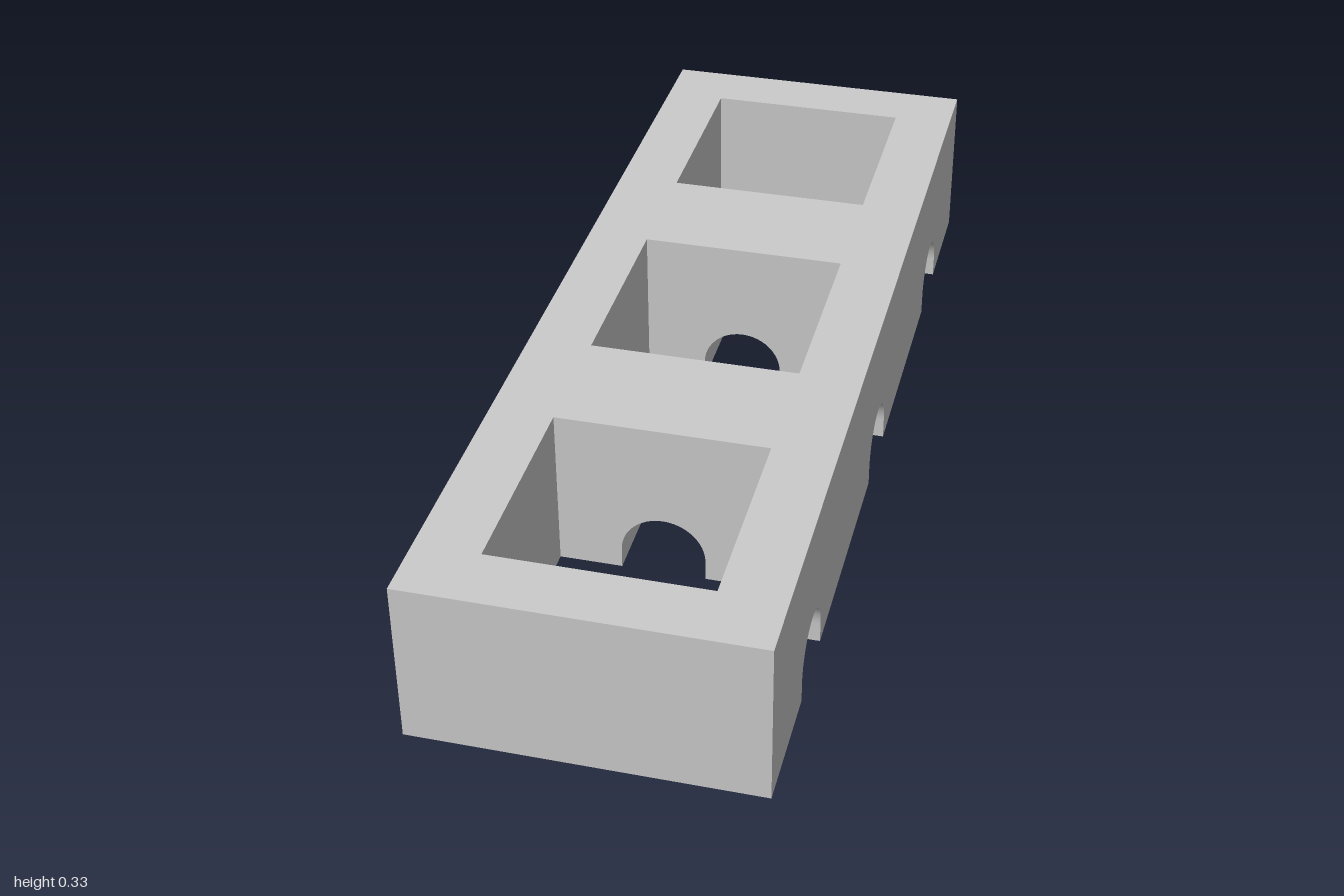
import * as THREE from 'three';
import { mergeGeometries } from 'three/addons/utils/BufferGeometryUtils.js';

const W = 1 / 3, L = 1, H = 1 / 3;        // half width, half length, height
const CELL = 5 / 24;                      // half size of the square openings
const R = 1 / 12, SPRING = 1 / 24;        // arch radius and height of its straight legs
const NOTCH = L - 1 / 16;                 // where the blind end notches stop
const CENTRES = [-2 / 3, 0, 2 / 3];
const SEG = 24;

// Upright wall outline with arches cut from its lower edge
function wall(halfWidth, arches) {
  const s = new THREE.Shape();
  s.moveTo(-halfWidth, 0);
  for (const c of arches) {
    s.lineTo(c - R, 0);
    s.lineTo(c - R, SPRING);
    s.absarc(c, SPRING, R, Math.PI, 0, true);
    s.lineTo(c + R, 0);
  }
  s.lineTo(halfWidth, 0);
  s.lineTo(halfWidth, H);
  s.lineTo(-halfWidth, H);
  return new THREE.ShapeGeometry(s, SEG / 2);
}

// Inside of an arched tunnel running along z from z0 to z1
function tunnel(z0, z1) {
  const g = new THREE.PlaneGeometry(1, 1, SEG + 2, 1);
  const p = g.attributes.position;
  for (let i = 0; i < p.count; i++) {
    const k = i % (SEG + 3);
    const a = Math.PI * (1 - THREE.MathUtils.clamp((k - 1) / SEG, 0, 1));
    const leg = k === 0 || k === SEG + 2;
    p.setXYZ(i, R * Math.cos(a), leg ? 0 : SPRING + R * Math.sin(a), p.getY(i) > 0 ? z1 : z0);
  }
  g.computeVertexNormals();
  return g;
}

// Flat polygon on the underside, given as x, z corners
function underside(points) {
  const s = new THREE.Shape(points.map(([x, z]) => new THREE.Vector2(x, z)));
  return new THREE.ShapeGeometry(s).rotateX(Math.PI / 2);
}

function square(x, y, hx, hy, Type) {
  return new Type([[-1, -1], [1, -1], [1, 1], [-1, 1]]
    .map(([a, b]) => new THREE.Vector2(x + a * hx, y + b * hy)));
}

export function createModel() {
  const group = new THREE.Group();
  const material = new THREE.MeshStandardMaterial({ color: 0xcccccc });
  const add = (name, parts) => {
    const mesh = new THREE.Mesh(mergeGeometries(parts), material);
    mesh.name = name;
    group.add(mesh);
  };
  const half = Math.PI / 2;

  // Top face with three square openings
  const top = square(0, 0, W, L, THREE.Shape);
  top.holes = CENTRES.map(z => square(0, z, CELL, CELL, THREE.Path));
  add('topFace', [new THREE.ShapeGeometry(top).rotateX(-half).translate(0, H, 0)]);

  // Long sides with arches, plain ends
  add('sideFaces', [1, -1].map(d => wall(L, CENTRES).rotateY(d * half).translate(d * W, 0, 0)));
  add('endFaces', [0, 1].map(k => wall(W, []).rotateY(k * Math.PI).translate(0, 0, k ? -L : L)));

  // Four inward-facing walls in each opening
  for (const z of CENTRES) {
    add('openingWalls', [0, 1, 2, 3].map(k =>
      wall(CELL, [0]).translate(0, 0, -CELL).rotateY(k * half).translate(0, 0, z)));
  }

  // Cross tunnels through the long walls
  add('crossTunnels', CENTRES.flatMap(z => [[CELL, W], [-W, -CELL]].map(([a, b]) =>
    tunnel(a, b).rotateY(half).translate(0, 0, z))));

  // Lengthwise tunnels between the openings, blind notches in the ends
  const inner = 2 / 3 - CELL, outer = 2 / 3 + CELL;
  add('lengthTunnels', [tunnel(CELL, inner), tunnel(-inner, -CELL)]);
  add('endNotches', [tunnel(outer, NOTCH), tunnel(-NOTCH, -outer)]);
  const cap = new THREE.Shape();
  cap.moveTo(-R, 0);
  cap.lineTo(R, 0);
  cap.lineTo(R, SPRING);
  cap.absarc(0, SPRING, R, 0, Math.PI, false);
  add('notchBacks', [0, 1].map(k => new THREE.ShapeGeometry(cap, SEG / 2)
    .translate(0, 0, -NOTCH).rotateY(k * Math.PI)));

  // Feet: U-shaped at the ends, T-shaped between the openings
  const feet = [];
  for (const d of [1, -1]) {
    const side = [[W, 2 / 3 + R], [CELL, 2 / 3 + R], [CELL, outer], [R, outer], [R, NOTCH]];
    const u = [[W, L], ...side, ...side.map(([x, z]) => [-x, z]).reverse(), [-W, L]];
    feet.push(underside(u.map(([x, z]) => [x, z * d])));
    for (const e of [1, -1]) {
      const t = [[W, R], [W, 2 / 3 - R], [CELL, 2 / 3 - R], [CELL, inner],
        [R, inner], [R, CELL], [CELL, CELL], [CELL, R]];
      feet.push(underside(t.map(([x, z]) => [x * e, z * d])));
    }
  }
  add('feet', feet);

  return group;
}
